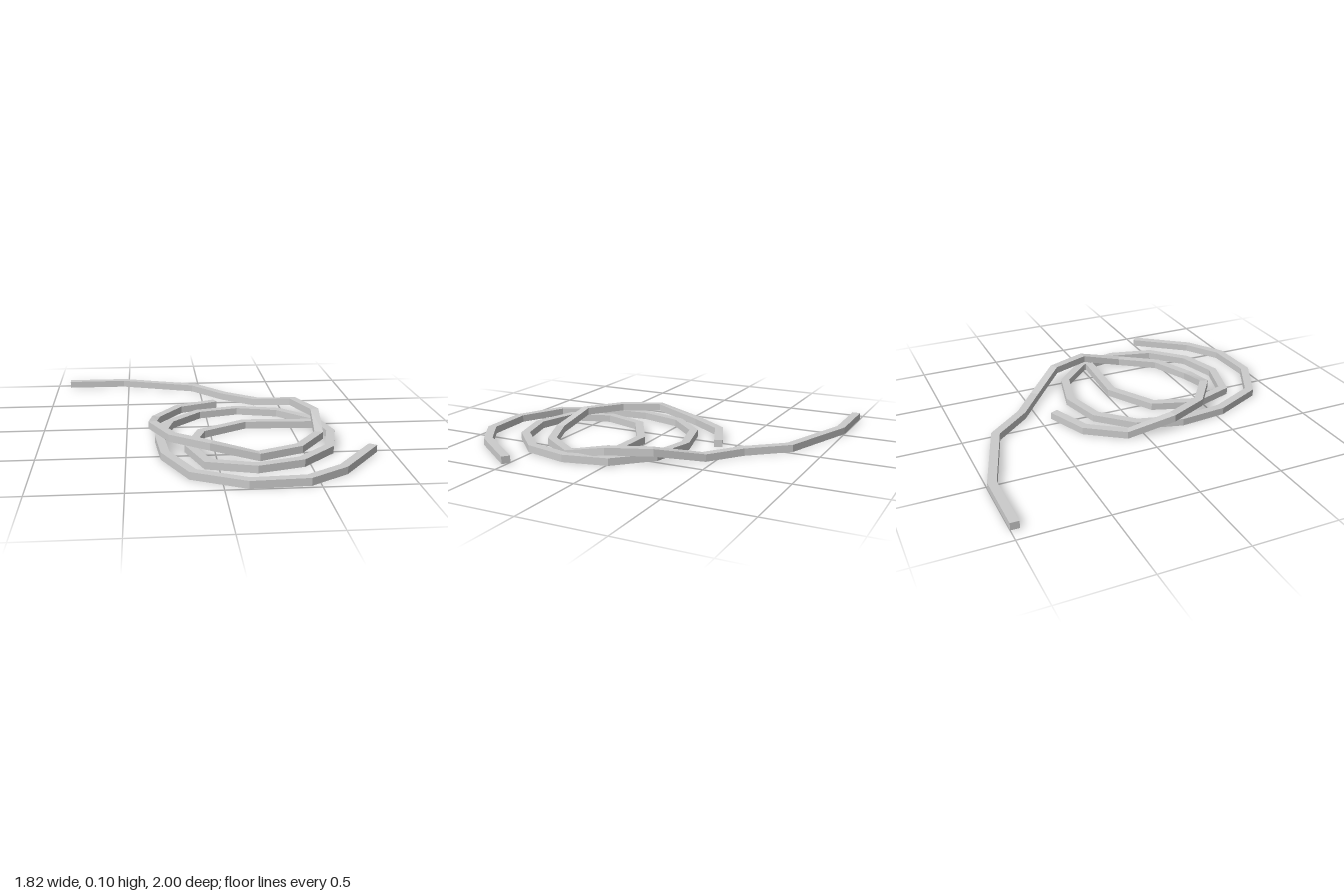
import * as THREE from 'three';

const HALF_WIDTH = 0.025, THICKNESS = 0.043;
const LOW = 0.002, HIGH = 0.062; // underside heights: on the ground, and where crossing another strand

// Square-section strand along [x, z, underside?] points, with mitred corners and flat end caps
function strand(name, points, material) {
  const rings = points.map(([x, z, y = LOW], i) => {
    const at = k => new THREE.Vector2(points[k][0], points[k][1]);
    const p = at(i), last = points.length - 1;
    const into = i > 0 ? p.clone().sub(at(i - 1)).normalize() : at(1).sub(p).normalize();
    const out = i < last ? at(i + 1).sub(p).normalize() : into;
    const t = into.clone().add(out).normalize();
    const w = HALF_WIDTH / t.dot(into);
    const nx = -t.y * w, nz = t.x * w;
    return [
      [x + nx, y, z + nz], [x + nx, y + THICKNESS, z + nz],
      [x - nx, y + THICKNESS, z - nz], [x - nx, y, z - nz],
    ];
  });

  const positions = [];
  const quad = (a, b, c, d) => positions.push(...a, ...b, ...c, ...a, ...c, ...d);
  for (let i = 0; i < rings.length - 1; i++) {
    for (let j = 0; j < 4; j++) {
      const k = (j + 1) % 4;
      quad(rings[i][j], rings[i + 1][j], rings[i + 1][k], rings[i][k]);
    }
  }
  quad(...rings[0]);
  quad(...[...rings[rings.length - 1]].reverse());

  const geometry = new THREE.BufferGeometry();
  geometry.setAttribute('position', new THREE.Float32BufferAttribute(positions, 3));
  geometry.computeVertexNormals();
  const mesh = new THREE.Mesh(geometry, material);
  mesh.name = name;
  return mesh;
}

export function createModel() {
  const group = new THREE.Group();
  group.name = 'coiledCable';
  const material = new THREE.MeshStandardMaterial({ color: 0xcccccc, flatShading: true });

  // Long tail that joins the coil and climbs over it twice
  group.add(strand('upperStrand', [
    [-0.915, -0.975], [-0.53, -0.975], [-0.04, -0.81], [0.15, -0.59], [0.35, -0.44],
    [0.56, -0.23, HIGH], [0.655, 0.01, HIGH], [0.63, 0.27], [0.475, 0.485], [0.23, 0.59],
    [-0.03, 0.565, HIGH], [-0.24, 0.41, HIGH], [-0.345, 0.18, HIGH],
    [-0.32, -0.1], [-0.17, -0.31], [0.075, -0.41],
  ], material));

  // Spiral lying flat on the ground, from its outer end inwards
  group.add(strand('groundSpiral', [
    [0.89, 0.51], [0.65, 0.82], [0.44, 0.955], [0.13, 0.97], [-0.15, 0.83], [-0.285, 0.54],
    [-0.31, 0.26], [-0.24, 0], [-0.055, -0.19], [0.2, -0.255], [0.46, -0.19], [0.65, 0],
    [0.705, 0.25], [0.64, 0.51], [0.45, 0.695], [0.2, 0.765], [-0.06, 0.69], [-0.145, 0.44],
    [-0.06, 0.19], [0.215, 0.03], [0.635, 0.05],
  ], material));

  return group;
}
